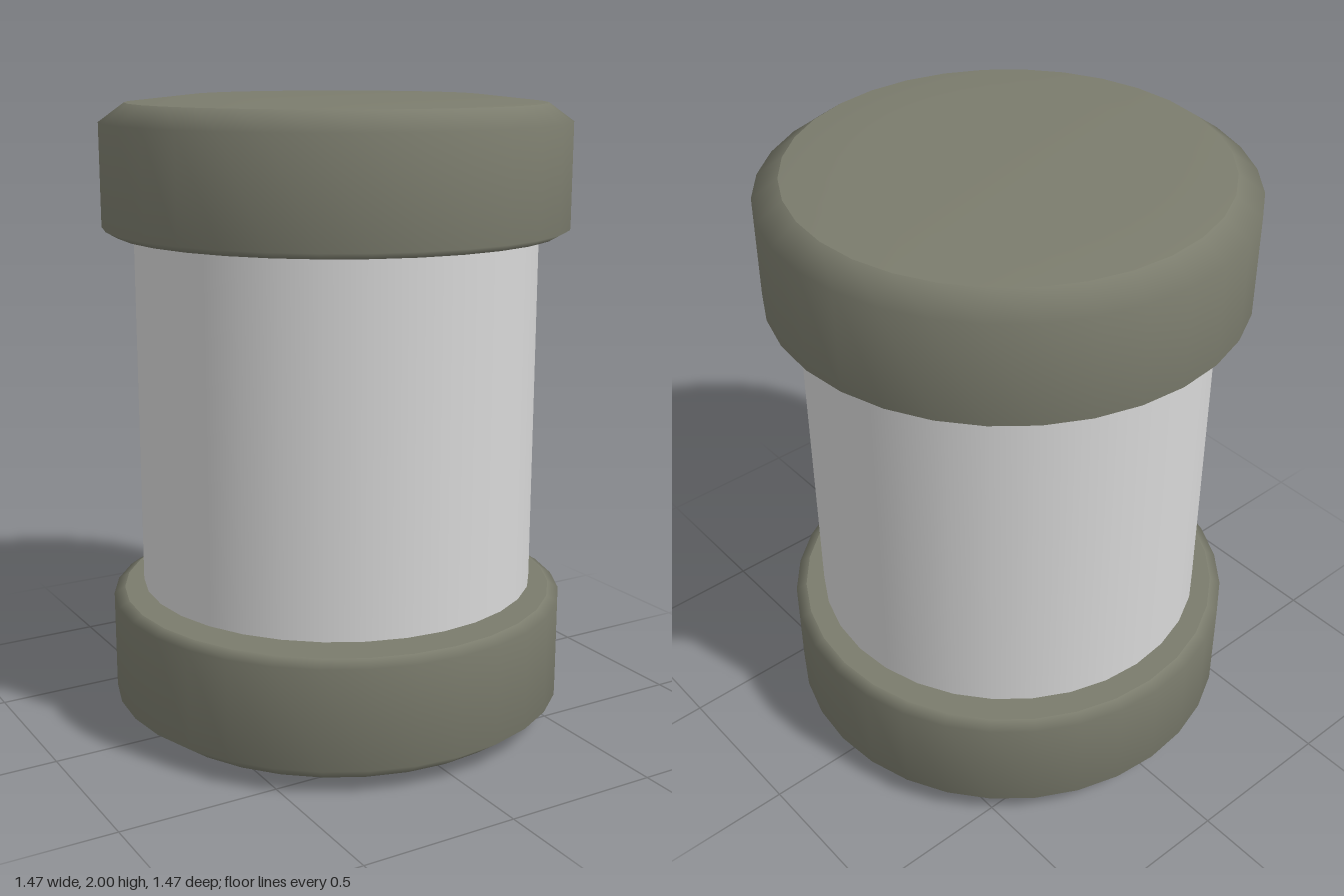
import * as THREE from 'three';

const SEGMENTS = 32;

export function createModel() {
  const model = new THREE.Group();
  model.name = 'canister';

  const olive = new THREE.MeshStandardMaterial({ color: 0x7b7c6d });
  olive.name = 'olive grey';
  const silver = new THREE.MeshStandardMaterial({ color: 0xd8d8d8 });
  silver.name = 'light grey';
  const green = new THREE.MeshStandardMaterial({ color: 0x109410 });
  green.name = 'green';

  const add = (name, geometry, material, parent = model) => {
    const mesh = new THREE.Mesh(geometry, material);
    mesh.name = name;
    parent.add(mesh);
    return mesh;
  };
  // Profiles run from bottom to top so the faces point outwards
  const lathe = (points) =>
    new THREE.LatheGeometry(points.map(([r, y]) => new THREE.Vector2(r, y)), SEGMENTS);

  // Cap: separate lathes keep the rims sharp and the side softly rounded
  const makeCap = (name) => {
    const cap = new THREE.Group();
    cap.name = name;
    add('capInnerFace', lathe([[0, 0.58], [0.7, 0.58]]), olive, cap);
    add('capSide', lathe([[0.7, 0.58], [0.735, 0.6], [0.735, 0.92], [0.655, 0.978]]), olive, cap);
    add('capOuterFace', lathe([[0.655, 0.978], [0.45, 1], [0, 1]]), olive, cap);
    cap.position.y = 1;
    model.add(cap);
    return cap;
  };
  makeCap('topCap');
  makeCap('bottomCap').rotation.x = Math.PI;

  // Outer tube stops just above the bottom cap
  const tube = add('outerTube', new THREE.CylinderGeometry(0.637, 0.637, 1.14, SEGMENTS), silver);
  tube.position.y = 1.015;

  // Inner core shows through the gap under the tube
  const core = add('innerCore', new THREE.CylinderGeometry(0.575, 0.575, 1.16, SEGMENTS), green);
  core.position.y = 1;

  return model;
}
